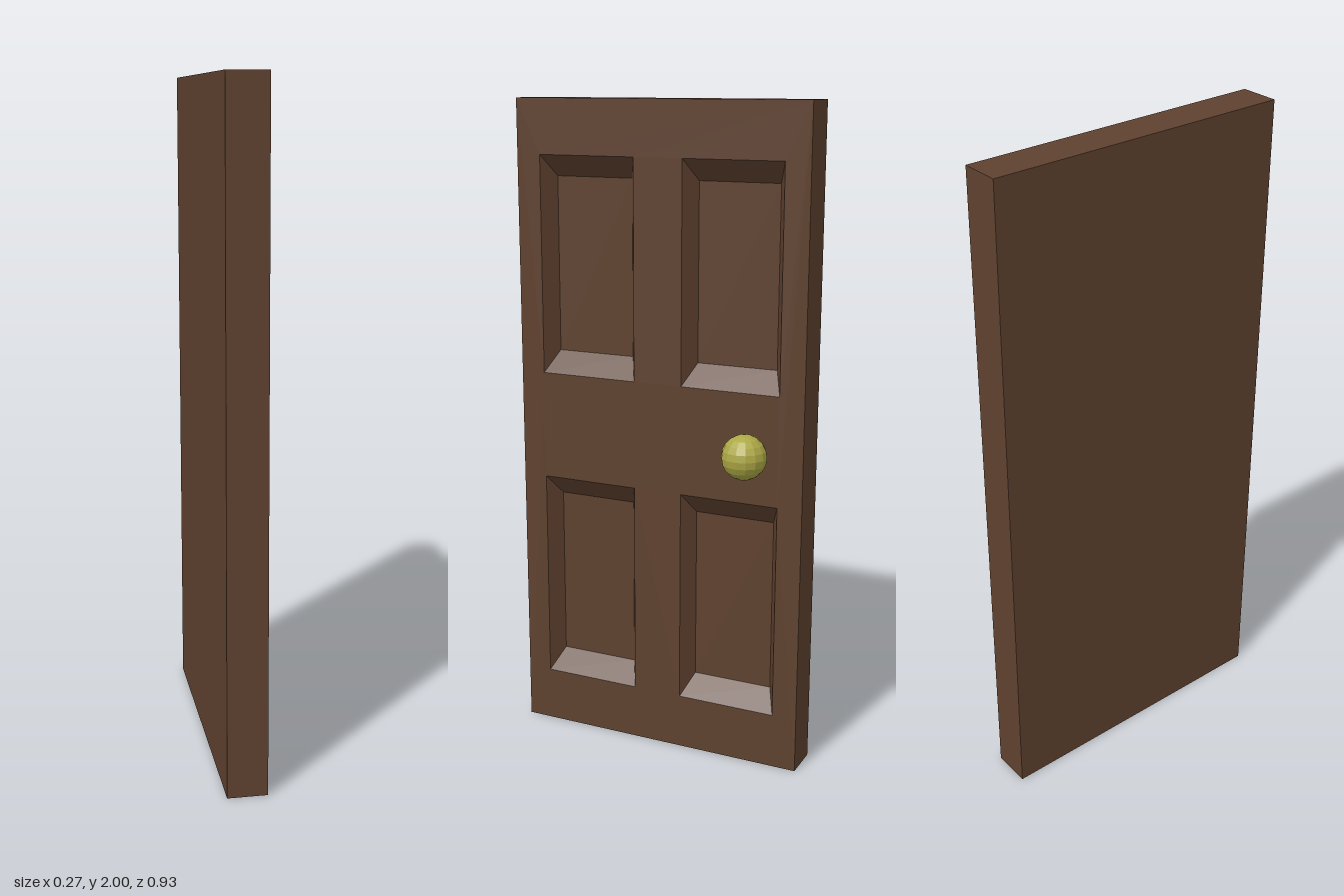
import * as THREE from 'three';

const WIDTH = 0.934, HEIGHT = 2, THICK = 0.118;
const FACE_X = -0.017; // plane of the panelled face
const PANEL = { w: 0.312, h: 0.665, insetX: 0.03, insetY: 0.065, depth: 0.055 };

// Corners of a rectangle, counter-clockwise
const rect = (cx, cy, w, h) => [[-1, -1], [1, -1], [1, 1], [-1, 1]]
  .map(([sx, sy]) => new THREE.Vector2(cx + sx * w / 2, cy + sy * h / 2));

// Four sloping walls and a floor, sunk behind the face
function recessGeometry(cx, cy) {
  const { w, h, insetX, insetY, depth } = PANEL;
  const outer = rect(cx, cy, w, h).map(p => [p.x, p.y, 0]);
  const inner = rect(cx, cy, w - 2 * insetX, h - 2 * insetY).map(p => [p.x, p.y, -depth]);
  const pos = [];
  const quad = (a, b, c, d) => pos.push(...a, ...b, ...c, ...a, ...c, ...d);
  for (let i = 0; i < 4; i++) {
    const j = (i + 1) % 4;
    quad(outer[i], outer[j], inner[j], inner[i]);
  }
  quad(...inner);
  const geo = new THREE.BufferGeometry();
  geo.setAttribute('position', new THREE.Float32BufferAttribute(pos, 3));
  geo.computeVertexNormals();
  return geo;
}

export function createModel() {
  const wood = new THREE.MeshStandardMaterial({ color: 0x5e412f, flatShading: true });
  wood.name = 'brown wood';
  const brass = new THREE.MeshStandardMaterial({ color: 0xaca744, flatShading: true });
  brass.name = 'dull brass';

  const model = new THREE.Group();
  model.name = 'door';
  const add = (parent, name, geo, mat) => {
    const mesh = new THREE.Mesh(geo, mat);
    mesh.name = name;
    parent.add(mesh);
    return mesh;
  };

  // Slab: a box without its +x side, which the panelled face replaces
  const slab = new THREE.BoxGeometry(THICK, HEIGHT, WIDTH);
  slab.setIndex([...slab.index.array].slice(6));
  slab.clearGroups();
  add(model, 'doorSlab', slab, wood).position.set(FACE_X - THICK / 2, HEIGHT / 2, 0);

  // Panelled face, drawn in xy and turned to look along +x
  const face = new THREE.Group();
  face.name = 'panelledFace';
  face.rotation.y = Math.PI / 2;
  face.position.x = FACE_X;
  model.add(face);

  const shape = new THREE.Shape(rect(0, HEIGHT / 2, WIDTH, HEIGHT));
  for (const cx of [-0.234, 0.234]) {
    for (const cy of [0.503, 1.503]) {
      shape.holes.push(new THREE.Path(rect(cx, cy, PANEL.w, PANEL.h).reverse()));
      add(face, 'recessedPanel', recessGeometry(cx, cy), wood);
    }
  }
  add(face, 'doorFrame', new THREE.ShapeGeometry(shape), wood);

  // Knob on a short six-sided stem
  const knob = new THREE.Group();
  knob.name = 'doorKnob';
  knob.position.set(0.065, 1.003, -0.316);
  model.add(knob);
  add(knob, 'knobBall', new THREE.SphereGeometry(0.067, 14, 10), brass);
  const stem = add(knob, 'knobStem', new THREE.CylinderGeometry(0.033, 0.033, 0.06, 6), brass);
  stem.rotation.z = Math.PI / 2;
  stem.position.x = FACE_X - 0.065 + 0.03;

  return model;
}
